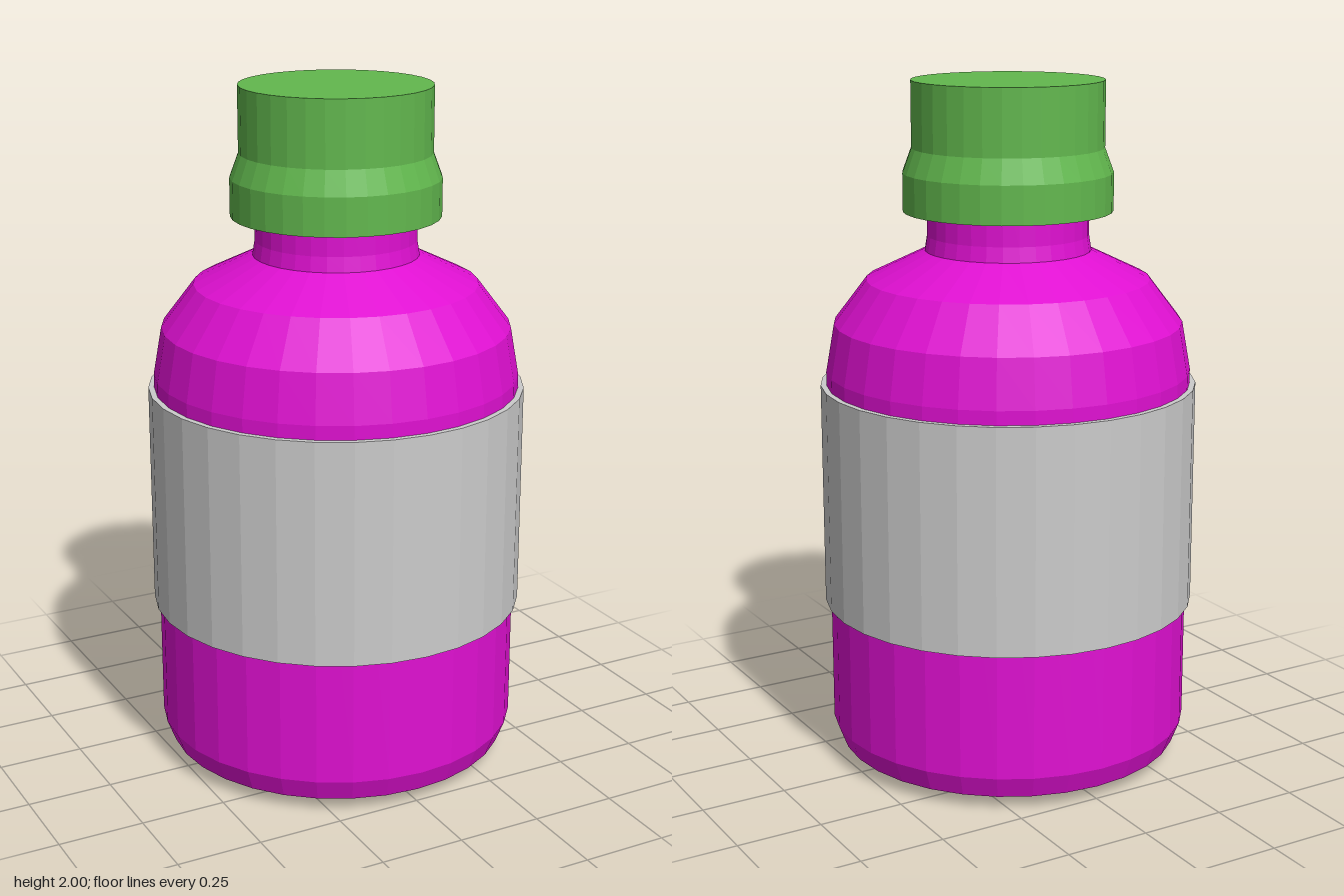
import * as THREE from 'three';

const SEGMENTS = 32;

// Faceted solid of revolution from [radius, height] pairs
function turned(name, profile, color) {
  const points = profile.map(([r, y]) => new THREE.Vector2(r, y));
  const material = new THREE.MeshStandardMaterial({ color, flatShading: true });
  const mesh = new THREE.Mesh(new THREE.LatheGeometry(points, SEGMENTS), material);
  mesh.name = name;
  return mesh;
}

export function createModel() {
  const group = new THREE.Group();
  group.name = 'bottle';

  // Bottle body: chamfered base, straight wall, rounded shoulder, neck
  group.add(turned('body', [
    [0, 0], [0.41, 0.002], [0.505, 0.04], [0.53, 0.105],
    [0.53, 1.17], [0.505, 1.31], [0.41, 1.435], [0.24, 1.517],
    [0.233, 1.56], [0.233, 1.75], [0, 1.75],
  ], 0xe010d2));

  // Sleeve wrapped round the body, a closed ring
  group.add(turned('label', [
    [0.527, 0.475], [0.547, 0.475], [0.547, 1.13], [0.527, 1.13], [0.527, 0.475],
  ], 0xcccccc));

  // Hollow cap with a flared skirt, open below
  group.add(turned('cap', [
    [0, 1.96], [0.25, 1.96], [0.25, 1.81], [0.275, 1.74], [0.275, 1.63],
    [0.302, 1.63], [0.302, 1.74], [0.276, 1.81], [0.276, 2], [0, 2],
  ], 0x62b84e));

  return group;
}
